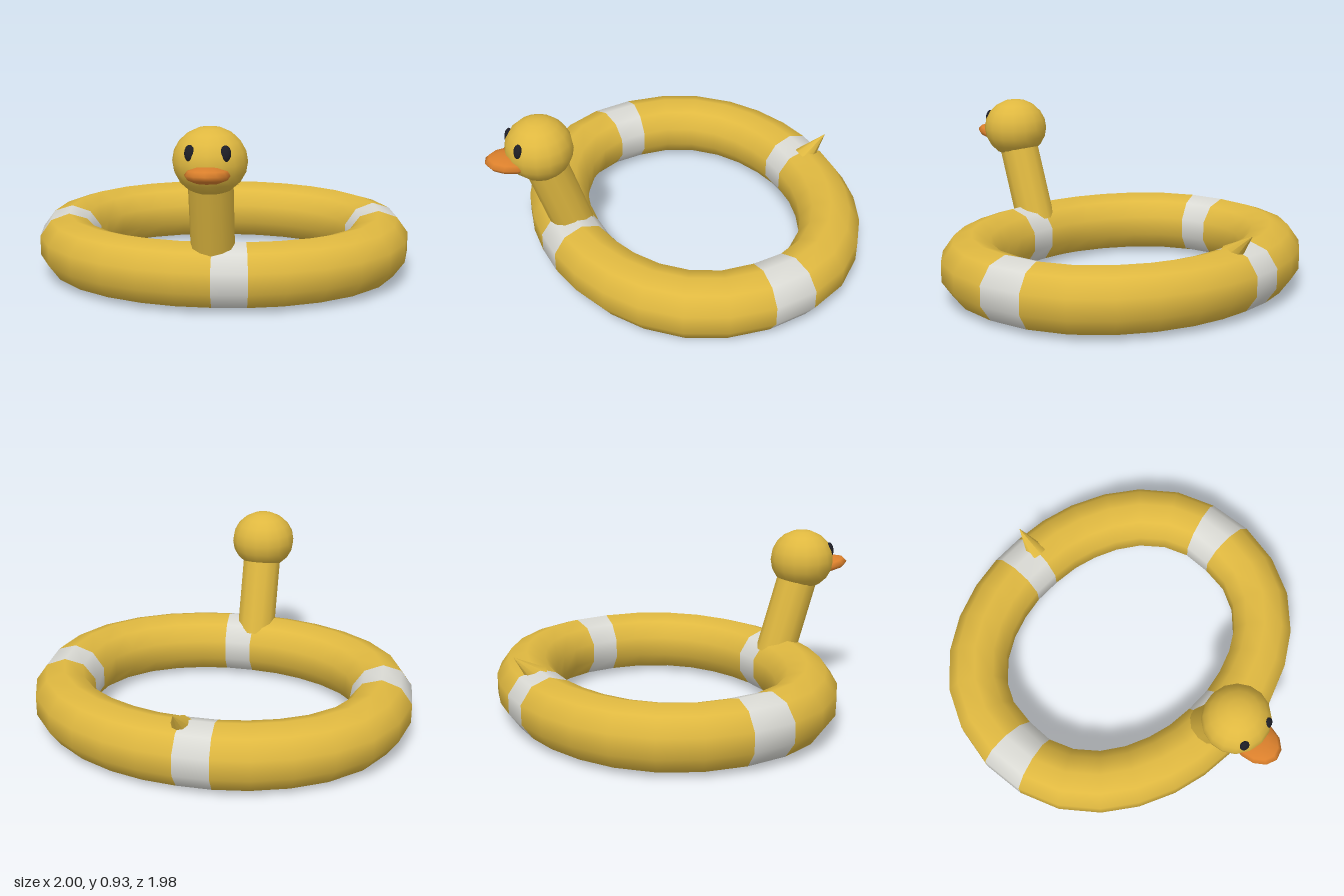
import * as THREE from 'three';

const mat = (name, color) => {
  const m = new THREE.MeshStandardMaterial({ color });
  m.name = name;
  return m;
};

// Quarter of the ring seen from above: [outer x, outer z, inner x, inner z]
const QUARTER = [
  [0, 0.86, 0, 0.545], [0.18, 0.85, 0.144, 0.537], [0.365, 0.81, 0.27, 0.508], [0.556, 0.73, 0.396, 0.458],
  [0.727, 0.613, 0.513, 0.383], [0.877, 0.442, 0.61, 0.276], [0.968, 0.234, 0.668, 0.148], [1, 0, 0.68, 0],
];

// Oval inflatable tube with a ten-sided section; every seventh segment is a stripe
function ringGeometry() {
  const around = 28, sides = 10, radius = 0.167, centreZ = -0.13;
  const positions = [], body = [], stripes = [];
  for (let i = 0; i < around; i++) {
    const k = i % 14 <= 7 ? i % 14 : 14 - (i % 14);
    const q = QUARTER[i > 14 && i < 21 ? 14 - (i - 14) === k ? k : i - 14 : i > 20 ? 28 - i : k];
    const sx = i < 14 ? 1 : -1;
    const sz = i > 7 && i < 21 ? -1 : 1;
    for (let j = 0; j < sides; j++) {
      const a = ((j + 0.5) / sides) * Math.PI * 2;
      const s = Math.cos(a) / Math.cos(Math.PI / sides);
      const out = (1 + s) / 2, inn = (1 - s) / 2;
      positions.push(
        sx * (q[0] * out + q[2] * inn),
        radius + radius * Math.sin(a),
        centreZ + sz * (q[1] * out + q[3] * inn));
    }
    const n = (i + 1) % around;
    const faces = i % 7 === 0 ? stripes : body;
    for (let j = 0; j < sides; j++) {
      const m = (j + 1) % sides;
      const a = i * sides + j, b = n * sides + j, c = n * sides + m, d = i * sides + m;
      faces.push(a, b, c, a, c, d);
    }
  }
  const g = new THREE.BufferGeometry();
  g.setAttribute('position', new THREE.Float32BufferAttribute(positions, 3));
  g.setIndex([...body, ...stripes]);
  g.addGroup(0, body.length, 0);
  g.addGroup(body.length, stripes.length, 1);
  g.computeVertexNormals();
  return g;
}

export function createModel() {
  const model = new THREE.Group();
  model.name = 'duckSwimRing';
  const yellow = mat('yellow', 0xdfb840);
  const white = mat('white', 0xdadad4);
  const orange = mat('orange', 0xdb802c);
  const black = mat('black', 0x1e1e26);

  const add = (name, geometry, material, position) => {
    const mesh = new THREE.Mesh(geometry, material);
    mesh.name = name;
    mesh.position.set(...position);
    model.add(mesh);
    return mesh;
  };
  const ellipsoid = (rx, ry, rz, w, h) => new THREE.SphereGeometry(1, w, h).scale(rx, ry, rz);

  // Shape whose y axis runs from one point to another
  const between = (name, top, bottom, sides, from, to) => {
    const a = new THREE.Vector3(...from), b = new THREE.Vector3(...to);
    const dir = b.clone().sub(a);
    const g = new THREE.CylinderGeometry(top, bottom, dir.length(), sides);
    const mesh = add(name, g, yellow, a.add(b).multiplyScalar(0.5).toArray());
    mesh.quaternion.setFromUnitVectors(new THREE.Vector3(0, 1, 0), dir.normalize());
  };

  add('ring', ringGeometry(), [yellow, white], [0, 0, 0]);

  // Neck leaning forward and a pointed tail leaning back
  between('neck', 0.108, 0.108, 12, [0, 0.24, 0.548], [0, 0.66, 0.683]);
  between('tail', 0, 0.06, 8, [0, 0.29, -0.825], [0, 0.41, -0.955]);

  // Head with flattened beak and eyes
  add('head', ellipsoid(0.177, 0.163, 0.172, 16, 10), yellow, [0, 0.762, 0.708]);
  const beak = add('beak', ellipsoid(0.106, 0.042, 0.138, 12, 6), orange, [0, 0.722, 0.85]);
  beak.rotation.x = -0.13;
  for (const side of [1, -1]) {
    const eye = add(side > 0 ? 'leftEye' : 'rightEye', ellipsoid(0.026, 0.039, 0.018, 10, 8), black,
      [side * 0.082, 0.82, 0.838]);
    eye.rotation.set(-0.2, side * 0.3, 0);
  }
  return model;
}
